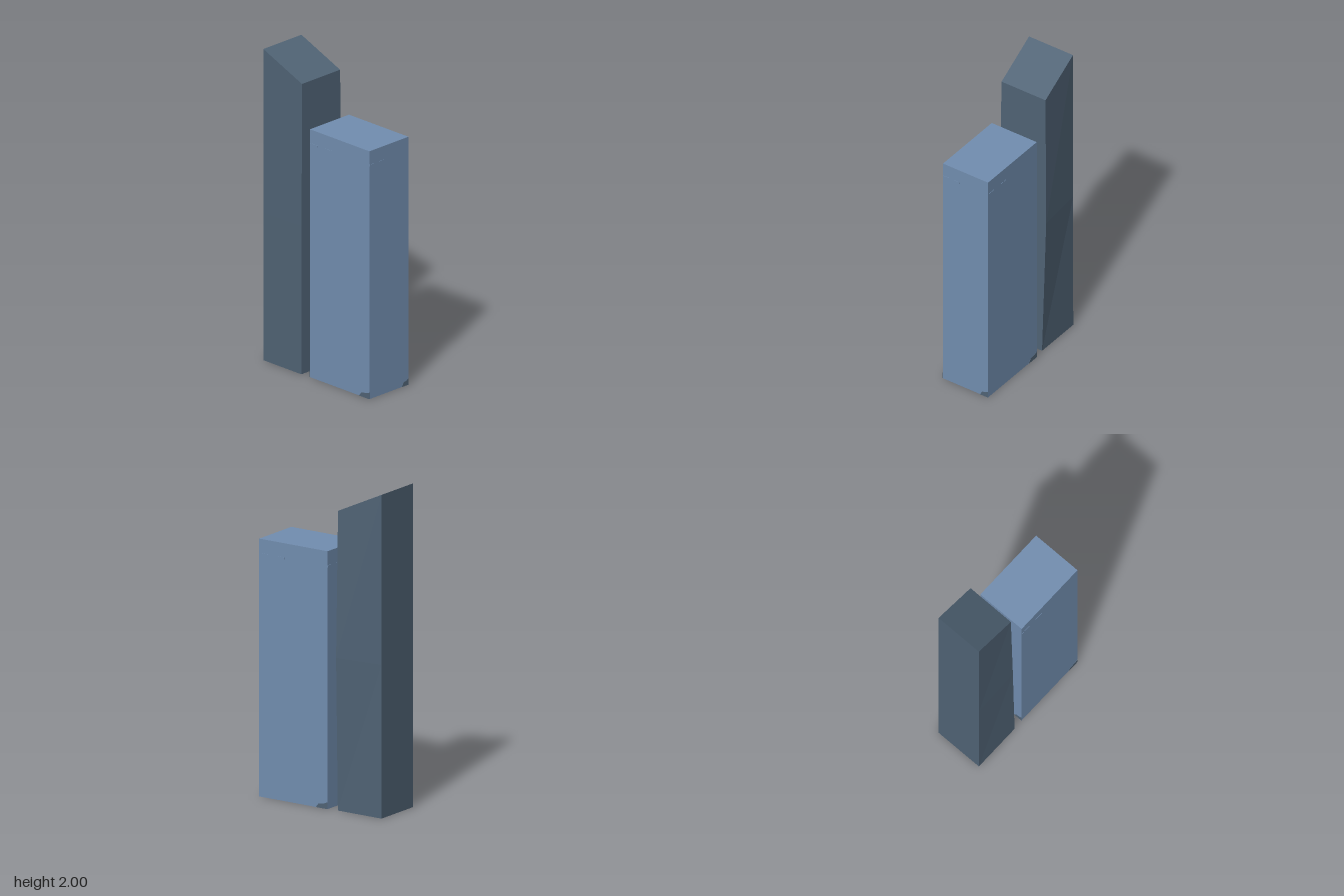
import * as THREE from 'three';

const slate = new THREE.MeshStandardMaterial({ name: 'slate', color: 0x506375, flatShading: true });
const blue = new THREE.MeshStandardMaterial({ name: 'steelBlue', color: 0x728eb0, flatShading: true });

// Closed solid through four-cornered rings, listed bottom to top.
// Corner order: front left-hand, front right-hand, back right-hand, back left-hand.
function loft(rings) {
  const pos = [];
  const quad = (a, b, c, d) => pos.push(...a, ...b, ...c, ...a, ...c, ...d);
  for (let i = 0; i < rings.length - 1; i++) {
    for (let j = 0; j < 4; j++) {
      const k = (j + 1) % 4;
      quad(rings[i][j], rings[i][k], rings[i + 1][k], rings[i + 1][j]);
    }
  }
  quad(...rings[rings.length - 1]);
  quad(...[...rings[0]].reverse());
  const geo = new THREE.BufferGeometry();
  geo.setAttribute('position', new THREE.Float32BufferAttribute(pos, 3));
  geo.computeVertexNormals();
  return geo;
}

function add(parent, name, geo, mat) {
  const mesh = new THREE.Mesh(geo, mat);
  mesh.name = name;
  parent.add(mesh);
  return mesh;
}

export function createModel() {
  const model = new THREE.Group();
  model.name = 'twinTowers';

  // Tall tower: slightly twisted shaft with a slanted roof
  add(model, 'tallTower', loft([
    [[-0.445, 0, 0.174], [-0.125, 0, 0.174], [-0.125, 0, -0.15], [-0.445, 0, -0.15]],
    [[-0.445, 0.95, 0.174], [-0.131, 0.95, 0.166], [-0.131, 0.95, -0.176], [-0.445, 0.95, -0.149]],
    [[-0.445, 2, 0.174], [-0.138, 1.857, 0.156], [-0.138, 1.857, -0.166], [-0.445, 2, -0.148]],
  ]), slate);

  // Short tower: plain block
  const W = 0.5, H = 1.593, D = 0.33, T = 0.002;
  const short = new THREE.Group();
  short.name = 'shortTower';
  short.position.set(0.193, 0, 0.005);
  model.add(short);
  add(short, 'shortTowerBlock', new THREE.BoxGeometry(W, H, D).translate(0, H / 2, 0), blue);

  // The same thin details on each of its four walls
  ['front', 'right', 'back', 'left'].forEach((side, i) => {
    const w = i % 2 ? D : W, out = (i % 2 ? W : D) / 2;
    const wall = new THREE.Group();
    wall.name = side + 'WallDetails';
    wall.rotation.y = i * Math.PI / 2;
    short.add(wall);

    // Dark patch in the lower corner
    const patch = new THREE.Shape([[0.33, 0], [0.37, 0.026], [0.45, 0.032], [0.5, 0.042], [0.5, 0]]
      .map(([x, y]) => new THREE.Vector2(x * w, y)).reverse());
    add(wall, 'basePatch', new THREE.ExtrudeGeometry(patch, { depth: T, bevelEnabled: false }), slate)
      .position.z = out;

    // Two narrow slats near the top
    for (const x of [-0.43, -0.19]) {
      add(wall, 'slat', new THREE.BoxGeometry(0.13 * w, 0.012, T), blue)
        .position.set(x * w, 1.5, out + T / 2);
    }
  });

  return model;
}
